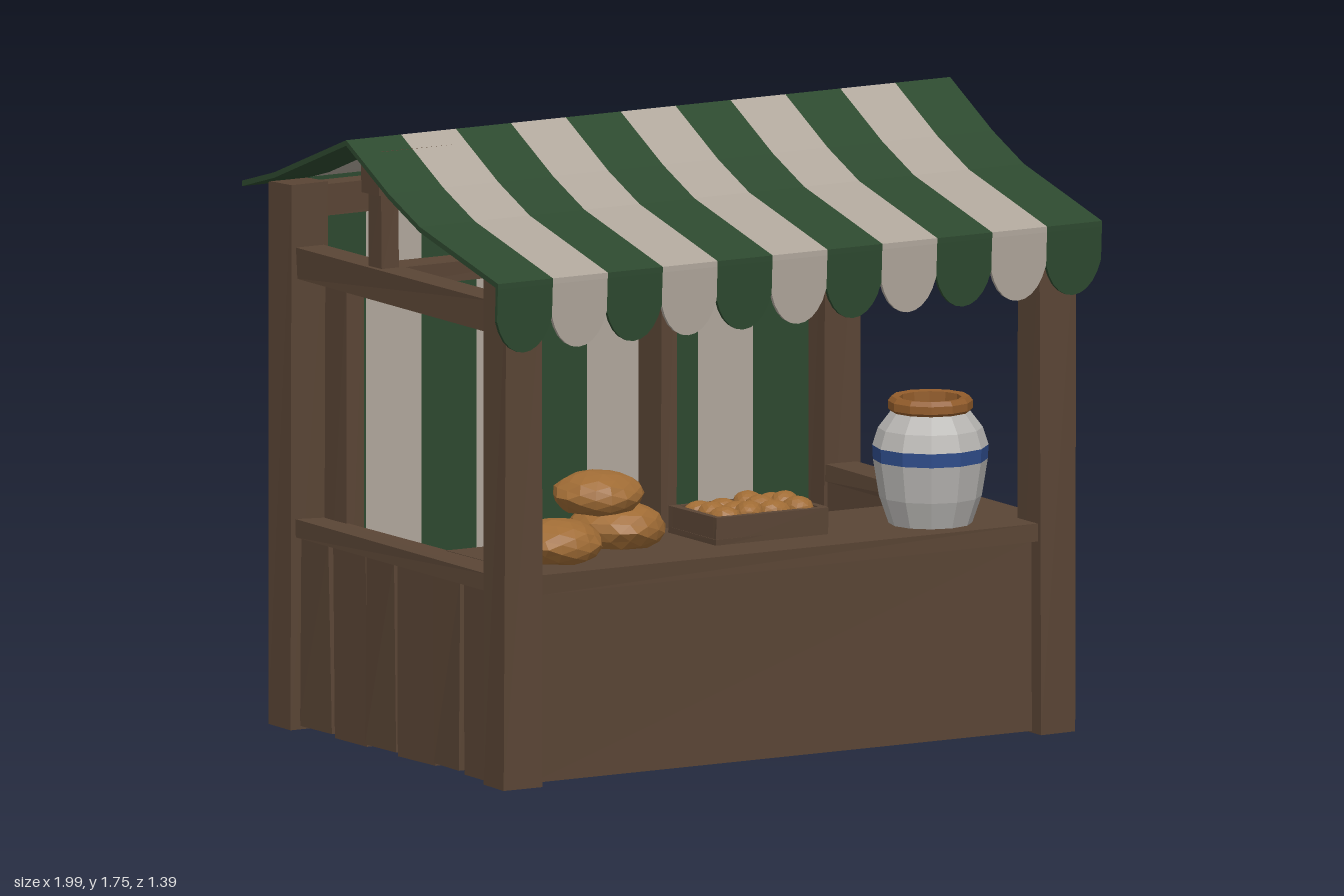
import * as THREE from 'three';
import { mergeGeometries } from 'three/addons/utils/BufferGeometryUtils.js';

const mat = (name, color, extra = {}) =>
  Object.assign(new THREE.MeshStandardMaterial({ color, flatShading: true, ...extra }), { name });

// Repeatable wobble from a position, so shared corners move together
const hash = (x, y, z) => {
  const s = Math.sin(x * 127.1 + y * 311.7 + z * 74.7) * 43758.5453;
  return (s - Math.floor(s)) * 2 - 1;
};
function wobble(geo, amount) {
  const p = geo.attributes.position;
  for (let i = 0; i < p.count; i++) {
    const [x, y, z] = [p.getX(i), p.getY(i), p.getZ(i)].map(v => Math.round(v * 1000) / 1000);
    p.setXYZ(i, x + amount * hash(x, y, z), Math.max(0, y + (y > 0.01 ? amount * hash(y, z, x) : 0)), z + amount * hash(z, x, y));
  }
  geo.computeVertexNormals();
  return geo;
}

export function createModel() {
  const model = new THREE.Group();
  model.name = 'marketStall';
  const wood = mat('wood', 0x5a4535);
  const green = mat('greenCloth', 0x2d492f, { side: THREE.DoubleSide });
  const cream = mat('creamCloth', 0xb0a79c, { side: THREE.DoubleSide });
  const crust = mat('breadCrust', 0xa06c35);
  const glaze = mat('jarGlaze', 0xb8b6b3, { side: THREE.DoubleSide });
  const blue = mat('blueBand', 0x2f4d8c);
  const clay = mat('clayRim', 0x925c2b, { side: THREE.DoubleSide });

  const add = (name, geo, material) => {
    const mesh = new THREE.Mesh(geo, material);
    mesh.name = name;
    model.add(mesh);
    return mesh;
  };
  // Wooden board given by its extents
  const board = (name, x0, x1, y0, y1, z0, z1, rough = 0.004) => {
    const geo = new THREE.BoxGeometry(x1 - x0, y1 - y0, z1 - z0);
    geo.translate((x0 + x1) / 2, (y0 + y1) / 2, (z0 + z1) / 2);
    return add(name, wobble(geo, rough), wood);
  };

  // Posts, side walls and roof supports, mirrored left and right
  for (const s of [1, -1]) {
    const side = s > 0 ? 'left' : 'right';
    const b = (name, xa, xb, ...rest) => board(side + name, Math.min(s * xa, s * xb), Math.max(s * xa, s * xb), ...rest);
    b('FrontPost', 0.82, 0.94, 0, 1.465, 0.52, 0.645);
    b('BackPost', 0.82, 0.94, 0, 1.555, -0.64, -0.52);
    b('TieBeam', 0.83, 0.92, 1.29, 1.38, -0.53, 0.53);
    b('KingPost', 0.845, 0.905, 1.37, 1.6, -0.155, -0.085);
    b('WallRail', 0.82, 0.925, 0.55, 0.6, -0.53, 0.53);
    b('WallBacking', 0.83, 0.87, 0.02, 0.56, -0.53, 0.53);
    const cuts = [0.53, 0.345, 0.195, 0.0, -0.17, -0.355, -0.53];
    for (let i = 0; i < 6; i++) {
      b('WallPlank' + i, 0.865, 0.9 + 0.008 * (i % 2), 0.01 * (i % 2), 0.555, cuts[i + 1] + 0.004, cuts[i] - 0.004, 0.006);
    }
  }
  board('ridgeBeam', -0.92, 0.92, 1.59, 1.715, -0.17, -0.07);
  board('frontBeam', -0.83, 0.83, 1.38, 1.45, 0.54, 0.62);
  board('backBeam', -0.83, 0.83, 1.46, 1.55, -0.61, -0.54);

  // Counter
  board('counterBody', -0.83, 0.83, 0.005, 0.555, 0.16, 0.6);
  board('counterTop', -0.825, 0.825, 0.55, 0.602, 0.14, 0.635, 0.003);

  // Inner frame in front of the back cloth
  board('innerFramePostLeft', 0.205, 0.26, 0, 1.42, -0.52, -0.4, 0.003);
  board('innerFramePostRight', -0.83, -0.77, 0, 1.31, -0.52, -0.4, 0.003);
  board('innerFrameTop', -0.8, 0.23, 1.258, 1.312, -0.51, -0.41, 0.003);

  // Striped canopy: a thin folded section pushed along x for each stripe
  const roofLine = [[0.695, 1.462], [0.5, 1.508], [0.27, 1.562], [0.1, 1.632], [-0.13, 1.75], [-0.52, 1.6], [-0.695, 1.55]];
  const under = roofLine.map(([z, y]) => [z, y - 0.016]).reverse();
  const section = new THREE.Shape([...roofLine, ...under].map(([z, y]) => new THREE.Vector2(z, y)));
  const roof = [[], []], fringe = [[], []], curtain = [[], []];
  const n = 11, w = 1.99 / n;
  for (let i = 0; i < n; i++) {
    const x0 = -0.995 + i * w;
    const strip = new THREE.ExtrudeGeometry(section, { depth: w, bevelEnabled: false });
    strip.rotateY(-Math.PI / 2).translate(x0 + w, 0, 0);
    roof[i % 2].push(strip);

    // Hanging scallop at the front edge
    const flap = new THREE.Shape();
    flap.moveTo(0, 0);
    flap.lineTo(0, -0.11);
    flap.bezierCurveTo(0.015, -0.17, 0.05, -0.205, w / 2, -0.205);
    flap.bezierCurveTo(w - 0.05, -0.205, w - 0.015, -0.17, w, -0.11);
    flap.lineTo(w, 0);
    const scallop = new THREE.ExtrudeGeometry(flap, { depth: 0.012, bevelEnabled: false, curveSegments: 5 });
    scallop.rotateX(0.05).translate(x0, 1.462, 0.683);
    fringe[i % 2].push(scallop);
  }
  // Back cloth
  const m = 9, cw = 1.64 / m;
  for (let i = 0; i < m; i++) {
    curtain[i % 2].push(new THREE.BoxGeometry(cw, 1.555, 0.016).translate(-0.82 + (i + 0.5) * cw, 0.7825, -0.618));
  }
  [green, cream].forEach((material, k) => {
    const tone = k ? 'Cream' : 'Green';
    add('canopy' + tone, mergeGeometries(roof[k]), material);
    add('fringe' + tone, mergeGeometries(fringe[k]), material);
    add('backCloth' + tone, mergeGeometries(curtain[k]), material);
  });

  // Round loaves
  const loaf = (name, x, y, z, rx, ry, rz, turn) => {
    const geo = new THREE.IcosahedronGeometry(1, 2);
    const p = geo.attributes.position;
    for (let i = 0; i < p.count; i++) {
      p.setY(i, Math.max(p.getY(i), -0.75));
      const k = 1 + 0.04 * hash(Math.round(p.getX(i) * 100), Math.round(p.getY(i) * 100), Math.round(p.getZ(i) * 100));
      p.setXYZ(i, p.getX(i) * k, p.getY(i) * k, p.getZ(i) * k);
    }
    geo.scale(rx, ry, rz).rotateY(turn).translate(x, y, z);
    geo.computeVertexNormals();
    add(name, geo, crust);
  };
  loaf('loafRight', -0.65, 0.655, 0.45, 0.13, 0.07, 0.125, 0.3);
  loaf('loafLeft', -0.385, 0.66, 0.33, 0.135, 0.075, 0.14, 0.9);
  loaf('loafTop', -0.495, 0.775, 0.41, 0.13, 0.068, 0.125, -0.2);

  // Crate of rolls
  board('crateBase', -0.14, 0.23, 0.6, 0.62, 0.21, 0.47, 0.002);
  board('crateFront', -0.14, 0.23, 0.6, 0.68, 0.45, 0.47, 0.002);
  board('crateBack', -0.14, 0.23, 0.6, 0.68, 0.21, 0.23, 0.002);
  board('crateEndRight', -0.14, -0.12, 0.6, 0.68, 0.23, 0.45, 0.002);
  board('crateEndLeft', 0.21, 0.23, 0.6, 0.68, 0.23, 0.45, 0.002);
  for (let i = 0; i < 4; i++) {
    for (let j = 0; j < 3; j++) {
      loaf('roll', -0.075 + i * 0.08, 0.672 + 0.012 * hash(i, j, 3), 0.27 + j * 0.07, 0.05, 0.036, 0.042, i * 2 + j);
    }
  }

  // Jar with painted band and clay rim
  const lathe = (name, pts, material) => {
    const geo = new THREE.LatheGeometry(pts.map(([r, y]) => new THREE.Vector2(r, y)), 12);
    add(name, geo.translate(0.575, 0, 0.455), material);
  };
  lathe('jarLower', [[0, 0.602], [0.118, 0.602], [0.145, 0.68], [0.162, 0.785]], glaze);
  lathe('jarBand', [[0.162, 0.785], [0.164, 0.825]], blue);
  lathe('jarUpper', [[0.164, 0.825], [0.148, 0.875], [0.11, 0.925]], glaze);
  lathe('jarRim', [[0.108, 0.918], [0.12, 0.93], [0.12, 0.952], [0.11, 0.965], [0.088, 0.962], [0.085, 0.9]], clay);
  lathe('jarInside', [[0.085, 0.9], [0.12, 0.8], [0, 0.78]], glaze);

  return model;
}
